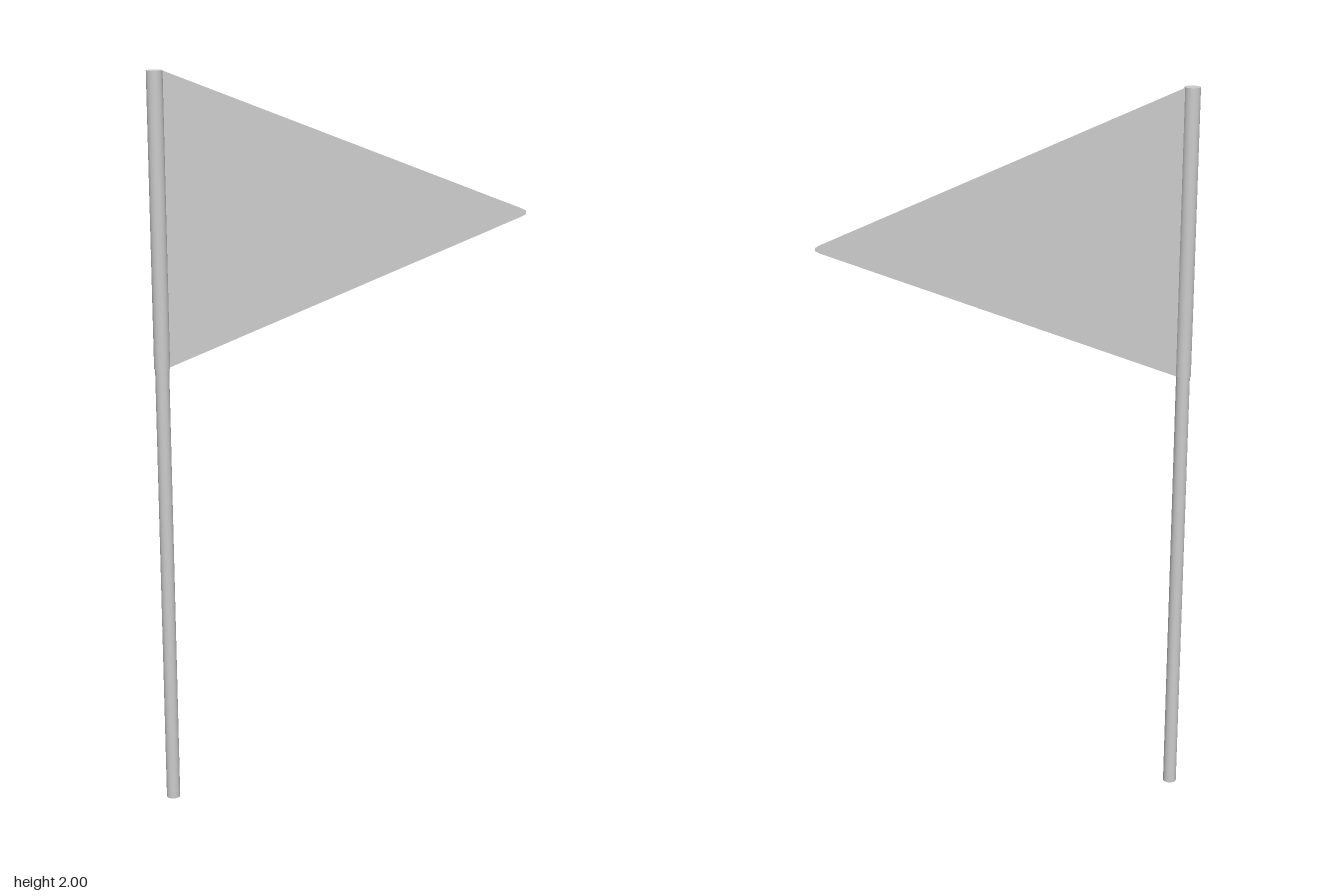
import * as THREE from 'three';

const POLE_X = -0.475;

export function createModel() {
  const group = new THREE.Group();
  const grey = new THREE.MeshStandardMaterial({ color: 0xcccccc });
  const cloth = new THREE.MeshStandardMaterial({ color: 0xcccccc, side: THREE.DoubleSide });

  // Upright round bar between two heights on the pole axis
  const bar = (name, radius, y0, y1) => {
    const mesh = new THREE.Mesh(new THREE.CylinderGeometry(radius, radius, y1 - y0, 32), grey);
    mesh.position.set(POLE_X, (y0 + y1) / 2, 0);
    mesh.name = name;
    group.add(mesh);
  };
  bar('pole', 0.0185, 0, 1.99);
  bar('flagSleeve', 0.021, 1.23, 2);

  // Thin pennant with a small blunt tip, swung slightly backwards
  const outline = new THREE.Shape([
    [0.018, 2], [0.018, 1.23], [0.96, 1.606], [0.97, 1.612], [0.97, 1.62], [0.96, 1.626],
  ].map(([x, y]) => new THREE.Vector2(x, y)));
  const pennant = new THREE.Mesh(new THREE.ShapeGeometry(outline), cloth);
  pennant.name = 'pennant';
  pennant.position.set(POLE_X, 0, -0.004);
  pennant.rotation.y = 0.0105;
  group.add(pennant);

  return group;
}
